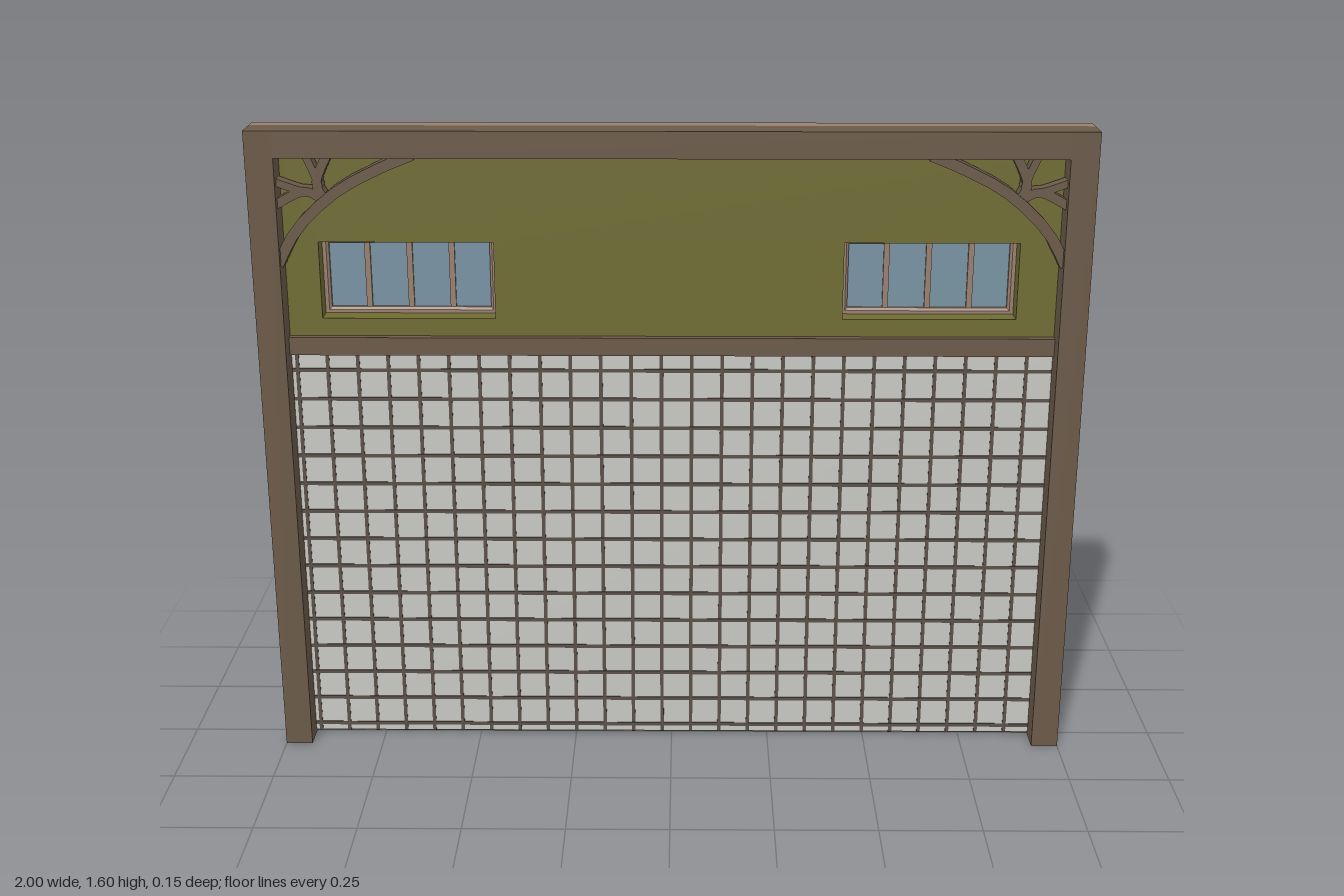
import * as THREE from 'three';

const mat = (name, color) => {
  const m = new THREE.MeshStandardMaterial({ color });
  m.name = name;
  return m;
};

// Rectangle centred on (cx, cy), as a shape or a hole
const rect = (cx, cy, w, h, Kind = THREE.Shape) => {
  const p = new Kind();
  p.moveTo(cx - w / 2, cy - h / 2);
  p.lineTo(cx + w / 2, cy - h / 2);
  p.lineTo(cx + w / 2, cy + h / 2);
  p.lineTo(cx - w / 2, cy + h / 2);
  p.closePath();
  return p;
};

// Band of constant width along a smooth curve
const band = (points, width) => {
  const curve = new THREE.SplineCurve(points.map(([x, y]) => new THREE.Vector2(x, y)));
  const a = [], b = [], n = 10;
  for (let i = 0; i <= n; i++) {
    const p = curve.getPoint(i / n), t = curve.getTangent(i / n);
    const off = new THREE.Vector2(-t.y, t.x).multiplyScalar(width / 2);
    a.push(p.clone().add(off));
    b.unshift(p.clone().sub(off));
  }
  return new THREE.Shape([...a, ...b]);
};

export function createModel() {
  const model = new THREE.Group();
  model.name = 'wallPanel';
  const timber = mat('dark timber', 0x6b5a49);
  const plaster = mat('light brown wall', 0x9a806e);
  const green = mat('olive green', 0x6f6c33);
  const tile = mat('pale tile', 0xc8c8c4);
  const grout = mat('dark grout', 0x5a5048);
  const glass = mat('blue glass', 0x7893a3);

  const add = (parent, name, geometry, material) => {
    const mesh = new THREE.Mesh(geometry, material);
    mesh.name = name;
    parent.add(mesh);
    return mesh;
  };
  const extrude = (parent, name, shape, z0, z1, material) => {
    const g = new THREE.ExtrudeGeometry(shape, { depth: z1 - z0, bevelEnabled: false });
    return add(parent, name, g.translate(0, 0, z0), material);
  };
  const box = (parent, name, x0, x1, y0, y1, z0, z1, material) => {
    const g = new THREE.BoxGeometry(x1 - x0, y1 - y0, z1 - z0);
    return add(parent, name, g.translate((x0 + x1) / 2, (y0 + y1) / 2, (z0 + z1) / 2), material);
  };

  const windows = [-0.64, 0.627], winY = 1.224;
  const openW = 0.422, openH = 0.19, inner = 0.933;

  // Back wall, pierced for the windows
  const wall = rect(0, 0.8, 2, 1.6);
  windows.forEach(x => wall.holes.push(rect(x, winY, openW + 0.01, openH + 0.01, THREE.Path)));
  extrude(model, 'backWall', wall, -0.04, 0, plaster);

  // Outer timber frame: two posts and the head beam
  box(model, 'rightPost', -1, -inner, 0, 1.6, 0, 0.075, timber);
  box(model, 'leftPost', inner, 1, 0, 1.6, 0, 0.075, timber);
  box(model, 'headBeam', -inner, inner, 1.535, 1.6, 0, 0.075, timber);
  box(model, 'middleRail', -inner, inner, 1.04, 1.085, 0, 0.028, timber);

  // Green upper panel
  const upper = rect(0, 1.31, inner * 2, 0.45);
  windows.forEach(x => upper.holes.push(rect(x, winY, openW, openH, THREE.Path)));
  extrude(model, 'upperPanel', upper, 0, 0.01, green);

  // Tiled lower panel with its grout grid
  box(model, 'tilePanel', -inner, inner, 0.007, 1.04, 0, 0.01, tile);
  const grid = new THREE.Group();
  grid.name = 'groutGrid';
  model.add(grid);
  const step = 0.0746, half = 0.0045;
  for (let i = 0; i < 25; i++) {
    const x = -0.92 + i * step;
    box(grid, 'verticalJoint', x - half, x + half, 0.007, 1.04, 0.009, 0.012, grout);
  }
  for (let i = 0; i < 14; i++) {
    const y = 0.027 + i * step;
    box(grid, 'horizontalJoint', -inner, inner, y - half, y + half, 0.009, 0.0125, grout);
  }

  // Windows: green reveal, frame standing out at the back, glass and mullions
  windows.forEach(x => {
    const win = new THREE.Group();
    win.name = 'window';
    model.add(win);
    const sleeve = rect(x, winY, openW + 0.01, openH + 0.01);
    sleeve.holes.push(rect(x, winY, openW, openH, THREE.Path));
    extrude(win, 'reveal', sleeve, -0.04, 0.009, green);

    const b = 0.006;
    const frame = rect(x, winY, 0.475 - 2 * b, 0.235 - 2 * b);
    frame.holes.push(rect(x, winY, 0.392 + 2 * b, 0.162 + 2 * b, THREE.Path));
    const g = new THREE.ExtrudeGeometry(frame, {
      depth: 0.035 - 2 * b, bevelSize: b, bevelThickness: b, bevelSegments: 1,
    });
    add(win, 'windowFrame', g.translate(0, 0, -0.075 + b), plaster);
    box(win, 'glass', x - 0.2, x + 0.2, winY - 0.085, winY + 0.085, -0.06, -0.054, glass);
    for (let i = -1; i <= 1; i++) {
      const mx = x + i * 0.103;
      box(win, 'mullion', mx - 0.007, mx + 0.007, winY - 0.085, winY + 0.085, -0.066, -0.047, plaster);
    }
  });

  // Curved corner brackets with forked branches
  const members = [
    [[[0.94, 1.275], [0.89, 1.362], [0.795, 1.45], [0.69, 1.507], [0.61, 1.54]], 0.026],
    [[[0.82, 1.43], [0.838, 1.475], [0.81, 1.54]], 0.022],
    [[[0.832, 1.462], [0.845, 1.5], [0.862, 1.54]], 0.018],
    [[[0.82, 1.43], [0.87, 1.452], [0.938, 1.42]], 0.022],
    [[[0.85, 1.447], [0.89, 1.458], [0.938, 1.475]], 0.018],
  ];
  for (const side of [-1, 1]) {
    const bracket = new THREE.Group();
    bracket.name = side < 0 ? 'rightBracket' : 'leftBracket';
    model.add(bracket);
    members.forEach(([pts, w], i) => {
      const shape = band(pts.map(([x, y]) => [x * side, y]), w);
      extrude(bracket, i ? 'bracketBranch' : 'bracketArch', shape, 0.02, i ? 0.055 : 0.06, timber);
    });
  }
  return model;
}
